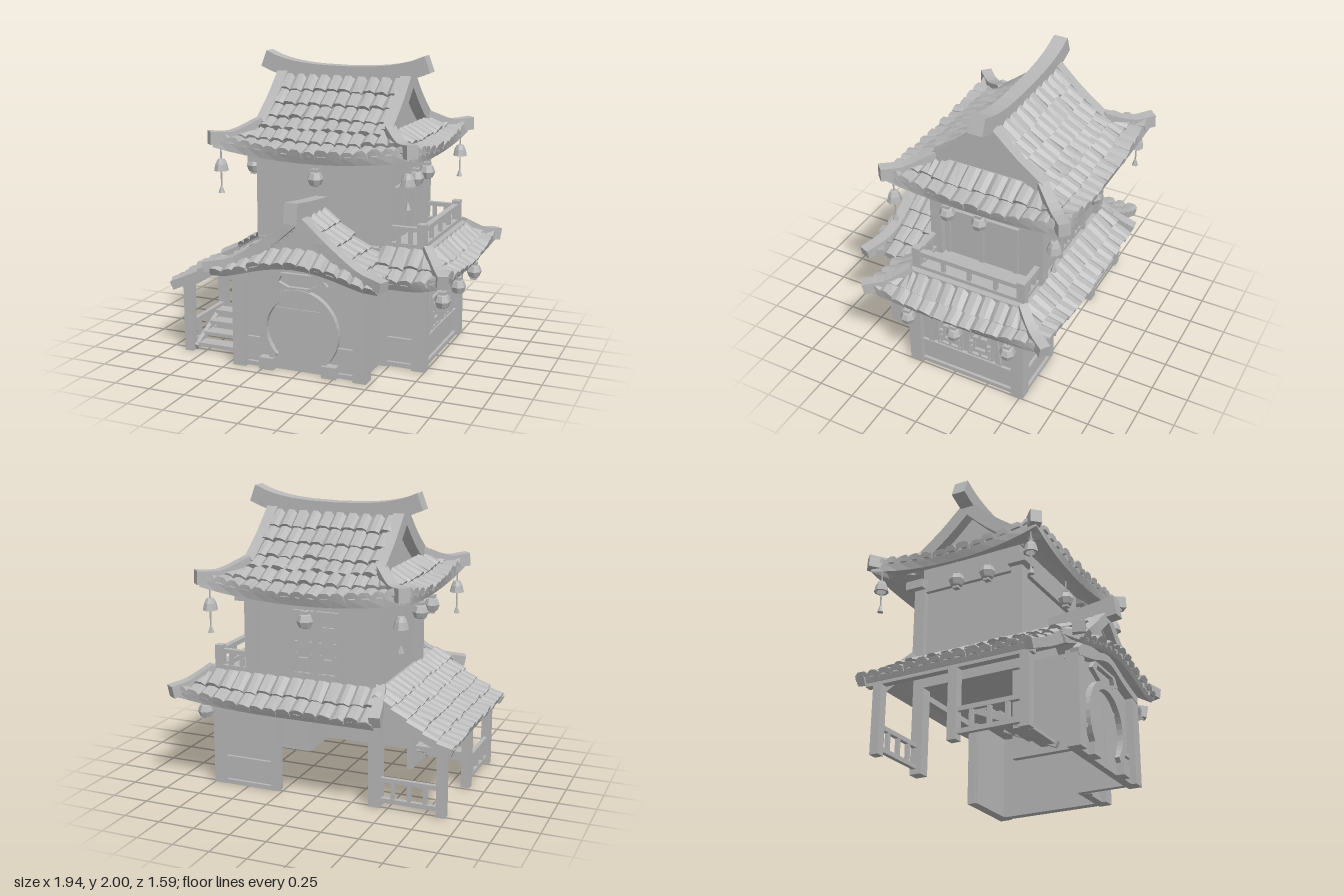
import * as THREE from 'three';

const V = (x, y, z) => new THREE.Vector3(x, y, z);
const { lerp, clamp } = THREE.MathUtils;
const stone = new THREE.MeshStandardMaterial({ color: 0xb8b8b8, flatShading: true, side: THREE.DoubleSide });
stone.name = 'plainGrey';

export function createModel() {
  const root = new THREE.Group();
  root.name = 'pagodaHouse';
  let seed = 7;
  const rnd = () => (seed = (seed * 16807) % 2147483647) / 2147483647 - 0.5;

  const add = (name, geo, parent = root) => {
    const m = new THREE.Mesh(geo, stone);
    m.name = name;
    parent.add(m);
    return m;
  };
  const box = (name, x0, x1, y0, y1, z0, z1, parent = root) => {
    const m = add(name, new THREE.BoxGeometry(x1 - x0, y1 - y0, z1 - z0), parent);
    m.position.set((x0 + x1) / 2, (y0 + y1) / 2, (z0 + z1) / 2);
    return m;
  };
  const post = (name, x, z, y0, y1, w) => box(name, x - w / 2, x + w / 2, y0, y1, z - w / 2, z + w / 2);
  const outline = (pts) => pts.map((p) => new THREE.Vector2(...p));
  const quadGeo = (quads) => {
    const p = [];
    for (const [a, b, c, d] of quads) for (const q of [a, b, c, a, c, d]) p.push(q.x, q.y, q.z);
    const g = new THREE.BufferGeometry();
    g.setAttribute('position', new THREE.Float32BufferAttribute(p, 3));
    g.computeVertexNormals();
    return g;
  };
  // Rectangular section swept along a curve, kept upright
  const beam = (name, pts, w, h, n = 8, grow = 0) => {
    const curve = new THREE.CatmullRomCurve3(pts), rings = [], quads = [];
    for (let i = 0; i <= n; i++) {
      const t = curve.getTangent(i / n), c = curve.getPoint(i / n);
      const s = t.clone().cross(V(0, 1, 0)).normalize(), up = s.clone().cross(t);
      const k = 1 + grow * i / n;
      rings.push([[1, 1], [-1, 1], [-1, -1], [1, -1]].map(([a, b]) =>
        c.clone().addScaledVector(s, a * w * k / 2).addScaledVector(up, b * h * k / 2)));
    }
    for (let i = 0; i < n; i++) for (let j = 0; j < 4; j++) {
      const k = (j + 1) % 4;
      quads.push([rings[i][j], rings[i][k], rings[i + 1][k], rings[i + 1][j]]);
    }
    quads.push([...rings[0]].reverse(), rings[n]);
    return add(name, quadGeo(quads));
  };
  // Roof field on a surface P(u, v): a thick underside plus rows of arched tiles
  const roof = (name, P, cols, rows, thick = 0.04) => {
    const at = (u, v, h) => {
      const p = P(u, v), e = 0.01;
      const nrm = P(u + e, v).sub(P(u - e, v)).cross(P(u, v + e).sub(P(u, v - e))).normalize();
      return p.addScaledVector(nrm, nrm.y < 0 ? -h : h);
    };
    const q = [], slab = [], N = 12, M = 4;
    for (let i = 0; i < N; i++) for (let j = 0; j < M; j++) {
      const [a, b, c, d] = [i / N, (i + 1) / N, j / M, (j + 1) / M];
      for (const h of [0.005, -thick]) slab.push([at(a, c, h), at(a, d, h), at(b, d, h), at(b, c, h)]);
      if (j === M - 1) slab.push([at(a, 1, 0.005), at(a, 1, -thick), at(b, 1, -thick), at(b, 1, 0.005)]);
      if (i === 0) slab.push([at(0, c, 0.005), at(0, c, -thick), at(0, d, -thick), at(0, d, 0.005)]);
      if (i === N - 1) slab.push([at(1, c, 0.005), at(1, d, 0.005), at(1, d, -thick), at(1, c, -thick)]);
    }
    for (let r = 0; r < rows; r++) for (let c = 0; c < cols; c++) {
      const v0 = r / rows, v1 = (r + 1.08 + rnd() * 0.16) / rows, tip = 0.028 + rnd() * 0.016;
      const us = [0, 0.28, 0.72, 1].map((k) => (c + k + (k % 1 ? rnd() * 0.16 : 0)) / cols);
      const arch = [0, 0.02, 0.02, 0];
      const top = us.map((u, k) => at(u, v0, 0.006 + arch[k]));
      const low = us.map((u, k) => at(u, v1, tip + arch[k] + rnd() * 0.008));
      const lip = us.map((u, k) => at(u, v1, arch[k] - 0.008));
      for (let k = 0; k < 3; k++) {
        q.push([top[k], low[k], low[k + 1], top[k + 1]], [low[k], lip[k], lip[k + 1], low[k + 1]]);
      }
      for (const k of [0, 3]) q.push([top[k], low[k], lip[k], top[k]]);
    }
    add(name + 'Underside', quadGeo(slab));
    add(name + 'Tiles', quadGeo(q));
  };
  // Sagging field from a top edge a-b to an eave c-d with lifted corners; columns run square to the eave
  const field = (a, b, c, d, sag, liftL = 0, liftR = 0) => {
    const along = d.clone().sub(c), len = along.lengthSq();
    const uA = a.clone().sub(c).dot(along) / len, uB = b.clone().sub(c).dot(along) / len;
    const rise = a.clone().sub(c).addScaledVector(along, -uA);
    return (u, v) => {
      const t = clamp(u, lerp(uA, 0, v), lerp(uB, 1, v));
      const p = c.clone().addScaledVector(along, t).addScaledVector(rise, 1 - v);
      p.y += v * v * (liftL * Math.max(0, 1 - 2 * t) ** 2 + liftR * Math.max(0, 2 * t - 1) ** 2) - sag * 4 * v * (1 - v);
      return p;
    };
  };
  const lattice = (name, w, h, x, y, z, ry) => {
    const g = new THREE.Group();
    g.name = name;
    g.position.set(x, y, z);
    g.rotation.y = ry;
    const bar = (x0, x1, y0, y1) => box('latticeBar', x0 * w / 2, x1 * w / 2, y0 * h / 2, y1 * h / 2, 0, 0.022, g);
    for (const s of [-1, 1]) {
      const o = (a, b) => (s > 0 ? [a, b] : [-b, -a]);
      bar(...o(0.86, 1), -1, 1); bar(-1, 1, ...o(0.88, 1));
      bar(...o(0.42, 0.54), -0.5, 0.5); bar(-0.5, 0.5, ...o(0.42, 0.54));
      bar(...o(0.5, 1), -0.07, 0.07); bar(-0.07, 0.07, ...o(0.5, 1));
      bar(...o(0.65, 0.74), 0.3, 0.9); bar(...o(0.65, 0.74), -0.9, -0.3);
    }
    root.add(g);
  };

  // Ground floor: thin walls around a hollow room, open at the back
  box('porchFrontWall', -0.42, 0.43, 0, 0.62, 0.58, 0.62);
  box('porchRightWall', 0.39, 0.43, 0, 0.62, 0.26, 0.6);
  box('porchLeftWall', -0.42, -0.38, 0, 0.62, 0.2, 0.6);
  box('wingFrontWall', 0.39, 0.71, 0, 0.6, 0.25, 0.29);
  box('wingSideWall', 0.67, 0.71, 0, 0.6, -0.5, 0.28);
  box('wingBackWall', 0.28, 0.71, 0, 0.6, -0.5, -0.45);
  box('upperFloorSlab', -0.45, 0.74, 0.58, 0.79, -0.52, 0.3);
  for (const x of [-0.415, 0.43]) post('porchPillar', x, 0.63, 0, 0.62, 0.09);
  for (const z of [0.295, -0.48]) post('wingPillar', 0.705, z, 0, 0.62, 0.09);
  post('backPillar', -0.41, -0.48, 0, 0.62, 0.08);
  post('recessPillar', 0.3, -0.49, 0, 0.62, 0.06);
  post('innerPillar', 0.46, 0.3, 0, 0.62, 0.05);
  for (const y of [0, 0.17]) {
    box('frontBand', 0.46, 0.68, y, y + 0.03, 0.28, 0.31);
    box('backBand', 0.3, 0.68, y, y + 0.03, -0.52, -0.49);
    box('sideBand', 0.69, 0.73, y, y + 0.03, -0.47, 0.27);
    for (const s of [-1, 1]) box('porchBand', s < 0 ? -0.4 : 0.27, s < 0 ? -0.27 : 0.4, y, y + 0.03, 0.61, 0.64);
  }
  box('sideTopBeam', 0.69, 0.74, 0.53, 0.59, -0.5, 0.3);
  box('backTopBeam', -0.43, 0.72, 0.54, 0.6, -0.53, -0.48);

  // Side window
  box('windowSill', 0.7, 0.735, 0.17, 0.21, -0.35, 0.2);
  box('windowHead', 0.7, 0.73, 0.46, 0.5, -0.3, 0.15);
  for (const s of [-1, 1]) {
    const jamb = box('windowJamb', 0.7, 0.73, 0.19, 0.48, -0.02, 0.02);
    jamb.position.z = -0.075 + s * 0.24;
    jamb.rotation.x = -s * 0.12;
    lattice('windowLattice', 0.19, 0.22, 0.71, 0.33, -0.08 + s * 0.115, Math.PI / 2);
  }

  // Moon gate
  const ring = new THREE.Shape(), a0 = -0.85, a1 = Math.PI + 0.85;
  ring.absarc(0, 0.28, 0.28, a0, a1, false);
  ring.absarc(0, 0.28, 0.225, a1, a0, true);
  add('doorRing', new THREE.ExtrudeGeometry(ring, { depth: 0.06, bevelEnabled: false, curveSegments: 14 })).position.z = 0.6;
  for (const s of [-1, 1]) {
    box('doorRingFoot', s * 0.22 - 0.05, s * 0.22 + 0.05, 0, 0.08, 0.6, 0.68);
    box('doorLeaf', s * 0.09 - 0.085, s * 0.09 + 0.085, 0, 0.42, 0.61, 0.628);
  }
  const plaque = new THREE.Shape(outline([[-0.08, 0.55], [0.08, 0.55], [0.2, 0.6], [0.15, 0.66], [-0.15, 0.66], [-0.2, 0.6]]));
  plaque.holes.push(new THREE.Path(outline([[-0.07, 0.57], [-0.14, 0.6], [-0.12, 0.64], [0.12, 0.64], [0.14, 0.6], [0.07, 0.57]])));
  add('doorPlaque', new THREE.ExtrudeGeometry(plaque, { depth: 0.04, bevelEnabled: false })).position.z = 0.61;
  beam('porchArch', [V(-0.46, 0.6, 0.65), V(-0.25, 0.65, 0.65), V(0, 0.72, 0.65), V(0.25, 0.65, 0.65), V(0.46, 0.6, 0.65)], 0.06, 0.05, 14);

  // Porch roof with a gable to the front and an arched canopy
  const gable = new THREE.Shape(outline([[-0.45, 0.58], [0.45, 0.58], [0.22, 0.79], [0, 0.99], [-0.22, 0.79]]));
  add('porchGable', new THREE.ExtrudeGeometry(gable, { depth: 0.05, bevelEnabled: false })).position.z = 0.57;
  for (const s of [-1, 1]) {
    roof('porchSlope', field(V(0, 1.03, 0.27), V(0, 1.03, 0.63), V(s * 0.55, 0.67, 0.27), V(s * 0.55, 0.67, 0.63), 0.05), 4, 5);
    beam('porchVerge', [V(0, 1.03, 0.65), V(s * 0.2, 0.86, 0.65), V(s * 0.42, 0.72, 0.68), V(s * 0.62, 0.68, 0.755)], 0.08, 0.07, 9);
  }
  beam('porchRidge', [V(0, 1.03, 0.27), V(0, 1.05, 0.5), V(0, 1.08, 0.755)], 0.085, 0.125, 5, 0.08);
  roof('porchCanopy', (u, v) => {
    const c = 2 * u - 1;
    return V(c * 0.57, 0.69 + 0.12 * Math.max(0, 1 - c * c) ** 1.5 - 0.07 * v + 0.02 * c ** 6, 0.63 + 0.12 * v);
  }, 13, 1, 0.03);

  // Lower roof around the right wing and the back
  const lt = 0.06;
  roof('lowerRight', field(V(0.75, 0.8, 0.3), V(0.75, 0.8, -0.52), V(0.92, 0.63, 0.54), V(0.92, 0.63, -0.73), 0.015, lt, lt), 13, 2);
  roof('lowerFront', field(V(0.44, 0.8, 0.3), V(0.75, 0.8, 0.3), V(0.44, 0.63, 0.54), V(0.92, 0.63, 0.54), 0.015, 0, lt), 5, 2);
  roof('lowerBack', field(V(0.75, 0.8, -0.52), V(-0.46, 0.8, -0.52), V(0.92, 0.63, -0.73), V(-0.48, 0.63, -0.73), 0.015, lt, 0), 15, 2);
  beam('lowerHipFront', [V(0.74, 0.81, 0.29), V(0.85, 0.72, 0.43), V(0.93, 0.69, 0.56)], 0.06, 0.07, 6, 0.2);
  beam('lowerHipBack', [V(0.74, 0.81, -0.51), V(0.85, 0.72, -0.64), V(0.93, 0.69, -0.76)], 0.06, 0.07, 6, 0.2);
  beam('lowerHipLeft', [V(-0.45, 0.81, -0.5), V(-0.48, 0.72, -0.63), V(-0.5, 0.66, -0.75)], 0.06, 0.07, 6, 0.2);
  box('balconyCurb', 0.73, 0.77, 0.77, 0.82, -0.52, 0.3);

  // Lean-to on the left with railing and steps
  roof('leanTo', field(V(-0.44, 0.79, -0.61), V(-0.44, 0.79, 0.61), V(-0.94, 0.48, -0.61), V(-0.94, 0.48, 0.61), 0.025), 14, 5, 0.03);
  for (const z of [-0.57, 0.59]) beam('leanToVerge', [V(-0.44, 0.73, z), V(-0.68, 0.59, z), V(-0.95, 0.465, z)], 0.05, 0.06, 5);
  for (const z of [-0.49, 0.05, 0.53]) post('leanToPost', -0.86, z, 0, 0.5, 0.06);
  box('leanToBeam', -0.885, -0.835, 0.45, 0.5, -0.58, 0.58);
  for (const y of [0.05, 0.19]) {
    box('backRail', -0.86, -0.42, y - 0.015, y + 0.015, -0.505, -0.475);
    box('sideRail', -0.875, -0.845, y - 0.015, y + 0.015, 0.05, 0.53);
  }
  for (let i = 1; i < 4; i++) {
    post('railBaluster', -0.86 + i * 0.11, -0.49, 0.05, 0.19, 0.025);
    post('railBaluster', -0.86, 0.05 + i * 0.12, 0.05, 0.19, 0.025);
  }
  for (let i = 1; i < 5; i++) box('stairTread', -0.82, -0.46, i * 0.05 - 0.025, i * 0.05, 0.51 - i * 0.09, 0.61 - i * 0.09);
  for (const x of [-0.82, -0.47]) beam('stairStringer', [V(x, 0.02, 0.53), V(x, 0.175, 0.18)], 0.03, 0.04, 1);

  // Upper floor
  box('upperWalls', -0.42, 0.45, 0.78, 1.5, -0.49, 0.25);
  for (const x of [-0.42, 0.455]) for (const z of [-0.49, 0.25]) {
    post('upperPillar', x, z, 0.78, 1.38, 0.08);
    post('pillarCap', x + Math.sign(x) * 0.02, z + (z > 0 ? 0.02 : -0.02), 1.3, 1.36, 0.13);
  }
  for (const z of [-0.5, 0.26]) box('wallPlate', -0.44, 0.47, 1.28, 1.34, z - 0.02, z + 0.02);
  for (const x of [-0.43, 0.46]) box('wallPlate', x - 0.02, x + 0.02, 1.28, 1.34, -0.5, 0.26);
  box('balconyDoorHead', 0.44, 0.475, 1.13, 1.16, -0.34, 0.2);
  for (const z of [-0.32, -0.07, 0.18]) box('balconyDoorJamb', 0.44, 0.47, 0.8, 1.15, z - 0.015, z + 0.015);
  for (const x of [-0.085, 0.085]) lattice('backDoorLattice', 0.15, 0.44, x, 1.04, -0.49, Math.PI);
  for (const x of [-0.18, 0.18]) box('backDoorJamb', x - 0.015, x + 0.015, 0.8, 1.3, -0.52, -0.48);

  // Balcony railing
  for (const z of [-0.49, 0.27]) {
    post('balconyPost', 0.7, z, 0.78, 0.97, 0.055);
    for (const x of [0.54, 0.62]) post('balconyBaluster', x, z, 0.8, 0.93, 0.025);
    for (const y of [0.82, 0.93]) box('balconyRail', 0.46, 0.71, y - 0.014, y + 0.014, z - 0.018, z + 0.018);
  }
  for (let i = 1; i < 4; i++) post('balconyBaluster', 0.7, -0.49 + i * 0.19, 0.8, 0.93, 0.025);
  for (const y of [0.82, 0.93]) box('balconyRail', 0.68, 0.72, y - 0.016, y + 0.016, -0.49, 0.27);

  // Upper roof: steep gable above a flared skirt
  const cx = 0.01, cz = -0.125;
  const tri = new THREE.Shape(outline([[-0.42, 1.48], [0.42, 1.48], [0.2, 1.65], [0, 1.83], [-0.2, 1.65]]));
  const core = add('upperGable', new THREE.ExtrudeGeometry(tri, { depth: 0.8, bevelEnabled: false }));
  core.rotation.y = Math.PI / 2;
  core.position.set(cx - 0.4, 0, cz);
  const corner = (sx, sz, out) => V(cx + sx * (out ? 0.67 : 0.45), out ? 1.39 : 1.53, cz + sz * (out ? 0.62 : 0.39));
  [[1, 1, 1, -1, 13], [1, -1, -1, -1, 15], [-1, -1, -1, 1, 13], [-1, 1, 1, 1, 15]].forEach(([a, b, c, d, n]) =>
    roof('upperSkirt', field(corner(a, b), corner(c, d), corner(a, b, 1), corner(c, d, 1), 0.015, 0.07, 0.07), n, 2, 0.05));
  for (const s of [-1, 1]) {
    roof('upperSlope', field(V(cx - 0.44, 1.84, cz + s * 0.02), V(cx + 0.44, 1.84, cz + s * 0.02),
      V(cx - 0.44, 1.51, cz + s * 0.42), V(cx + 0.44, 1.51, cz + s * 0.42), 0.025), 10, 4);
    for (const t of [-1, 1]) {
      beam('upperVerge', [V(cx + t * 0.445, 1.85, cz), V(cx + t * 0.445, 1.68, cz + s * 0.18), V(cx + t * 0.445, 1.53, cz + s * 0.38)], 0.075, 0.09, 6);
      beam('upperHip', [V(cx + t * 0.45, 1.55, cz + s * 0.37), V(cx + t * 0.59, 1.47, cz + s * 0.53), V(cx + t * 0.7, 1.475, cz + s * 0.64)], 0.07, 0.08, 6, 0.1);
    }
  }
  beam('upperRidge', [V(-0.575, 1.944, cz), V(-0.46, 1.9, cz), V(-0.24, 1.862, cz), V(0.26, 1.862, cz), V(0.48, 1.9, cz), V(0.6, 1.944, cz)], 0.1, 0.115, 14);

  // Hanging lanterns and corner bells
  const lantern = (x, y, z) => {
    add('lantern', new THREE.SphereGeometry(0.055, 7, 4)).position.set(x, y, z);
    post('lanternCap', x, z, y + 0.045, y + 0.065, 0.045);
    post('lanternBase', x, z, y - 0.06, y - 0.045, 0.04);
    post('lanternCord', x, z, y + 0.06, y + 0.14, 0.008);
  };
  for (const z of [0.38, -0.65]) lantern(0.005, 1.23, z);
  for (const x of [-0.575, 0.595]) for (const z of [0.1, -0.13]) lantern(x, 1.23, z);
  for (const z of [0.28, -0.07, -0.46]) lantern(0.845, 0.48, z);
  const bell = outline([[0.001, 0.06], [0.025, 0.055], [0.04, 0.025], [0.05, -0.02], [0.035, -0.02]]);
  for (const x of [-0.64, 0.66]) for (const z of [0.45, -0.68]) {
    add('bell', new THREE.LatheGeometry(bell, 8)).position.set(x, 1.27, z);
    post('bellCord', x, z, 1.12, 1.43, 0.008);
    add('bellTassel', new THREE.ConeGeometry(0.022, 0.06, 5)).position.set(x, 1.13, z);
  }
  return root;
}
